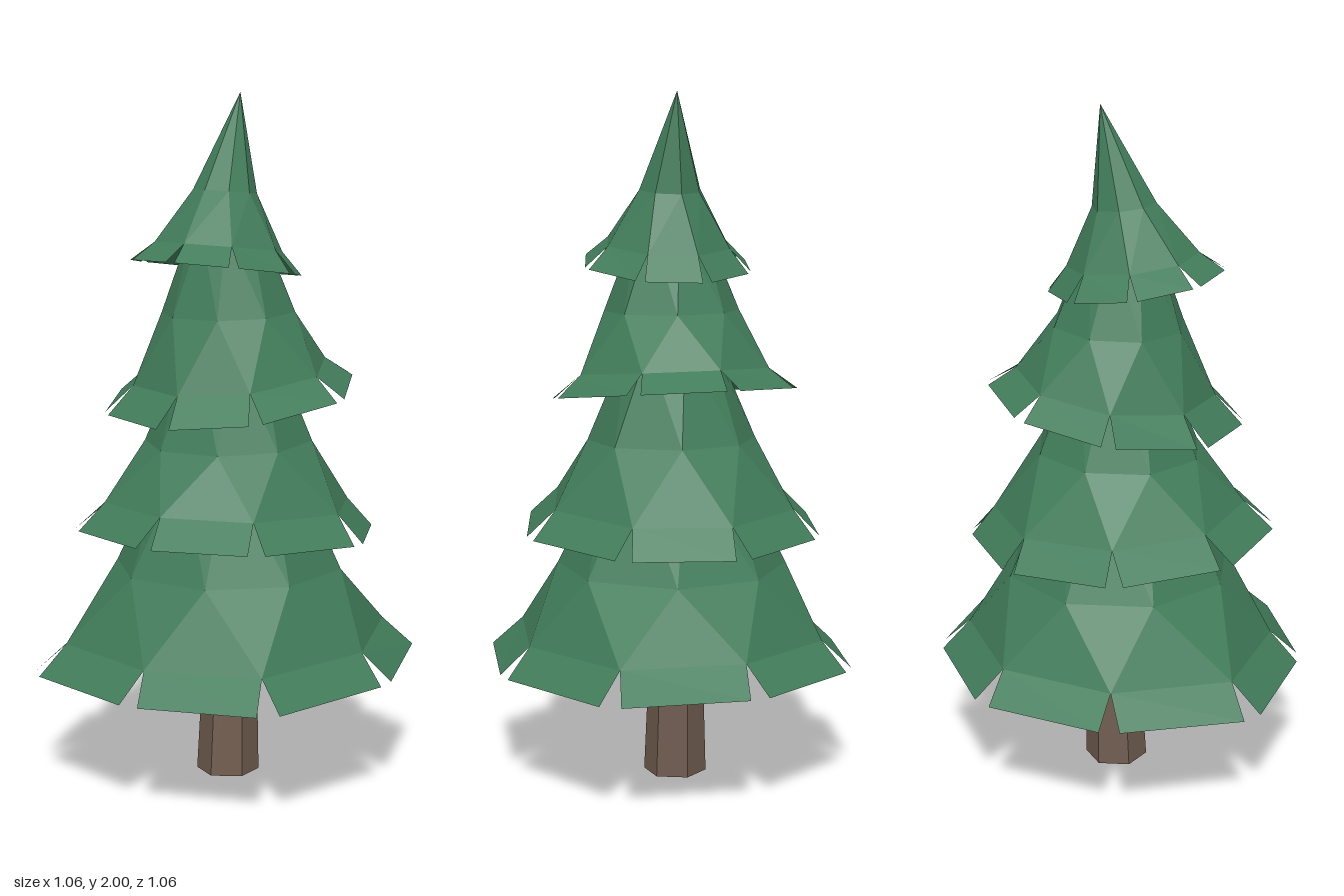
import * as THREE from 'three';

const deg = Math.PI / 180;
// Where one flap ends and the next begins, in degrees from the front towards +x
const SPLITS = [8, 56, 100.5, 145.5, 189.5, 234, 279, 321];
// Hand-cut unevenness of the widest tier at those splits
const UNEVEN = [0.967, 1.04, 0.967, 0.98, 0.97, 1.044, 0.978, 1.05];
const SIDES = SPLITS.length;

// A corner of a ring: radius r at height y, centred on x = cx,
// turned by `turn` degrees and sloped along x by `tilt`.
function ringPoint({ r, y, cx = 0, turn = 0, tilt = 0, uneven = false }, i, shift = 0) {
  const k = i % SIDES;
  const a = (SPLITS[k] + turn + shift) * deg;
  const radius = uneven ? r * UNEVEN[k] : r;
  const x = Math.sin(a) * radius;
  return [cx + x, y + tilt * x, Math.cos(a) * radius];
}

// One tier of foliage: twisted faceted skirt ending in eight separate flaps.
// Rings run from the flap tips up to the crown.
function makeTier(rings) {
  const positions = [];
  for (let k = 0; k < rings.length - 1; k++) {
    const gap = k === 0 ? 3.2 : 0; // only the flap tips are parted
    for (let i = 0; i < SIDES; i++) {
      const a = ringPoint(rings[k], i, gap);
      const b = ringPoint(rings[k], i + 1, -gap);
      const c = ringPoint(rings[k + 1], i + 1);
      const d = ringPoint(rings[k + 1], i);
      positions.push(...a, ...b, ...d);
      if (rings[k + 1].r > 0) positions.push(...b, ...c, ...d);
    }
  }
  const geometry = new THREE.BufferGeometry();
  geometry.setAttribute('position', new THREE.Float32BufferAttribute(positions, 3));
  geometry.computeVertexNormals();
  return geometry;
}

export function createModel() {
  const group = new THREE.Group();
  group.name = 'pineTree';

  const needleGreen = new THREE.MeshStandardMaterial({
    name: 'needleGreen', color: 0x417c5a, flatShading: true, side: THREE.DoubleSide,
  });
  const barkBrown = new THREE.MeshStandardMaterial({
    name: 'barkBrown', color: 0x705c4f, flatShading: true,
  });

  // Six-sided trunk, slightly tapered and leaning
  const trunkGeometry = new THREE.CylinderGeometry(0.075, 0.092, 0.47, 6);
  trunkGeometry.rotateY(0.65);
  trunkGeometry.translate(0, 0.235, -0.008);
  const p = trunkGeometry.attributes.position;
  for (let i = 0; i < p.count; i++) p.setX(i, p.getX(i) + 0.007 + p.getY(i) * 0.03);
  const trunk = new THREE.Mesh(trunkGeometry, barkBrown);
  trunk.name = 'trunk';
  group.add(trunk);

  // Tiers from the ground up: tip, joint, knee, crown
  const tiers = {
    bottomTier: [
      { r: 0.548, y: 0.343, tilt: 0.02, uneven: true },
      { r: 0.465, y: 0.425, tilt: 0.02, uneven: true },
      { r: 0.335, y: 0.63, turn: 20 },
      { r: 0.18, y: 0.95, turn: 30 },
    ],
    lowerTier: [
      { r: 0.443, y: 0.742, cx: -0.01, tilt: -0.04 },
      { r: 0.368, y: 0.82, tilt: -0.04 },
      { r: 0.245, y: 1.0, turn: 24, tilt: 0.03 },
      { r: 0.13, y: 1.28, turn: 34 },
    ],
    upperTier: [
      { r: 0.367, y: 1.135, cx: 0.01, tilt: 0.15 },
      { r: 0.288, y: 1.2, cx: 0.01, tilt: 0.13 },
      { r: 0.195, y: 1.375, turn: 22, tilt: 0.03 },
      { r: 0.1, y: 1.62, cx: -0.01, turn: 32 },
    ],
    topTier: [
      { r: 0.25, y: 1.505, cx: -0.05, tilt: -0.14 },
      { r: 0.188, y: 1.565, cx: -0.04, tilt: -0.12 },
      { r: 0.092, y: 1.72, cx: -0.015, turn: 38, tilt: -0.1 },
      { r: 0, y: 2, cx: 0.053 },
    ],
  };
  for (const [name, rings] of Object.entries(tiers)) {
    const tier = new THREE.Mesh(makeTier(rings), needleGreen);
    tier.name = name;
    group.add(tier);
  }
  return group;
}
